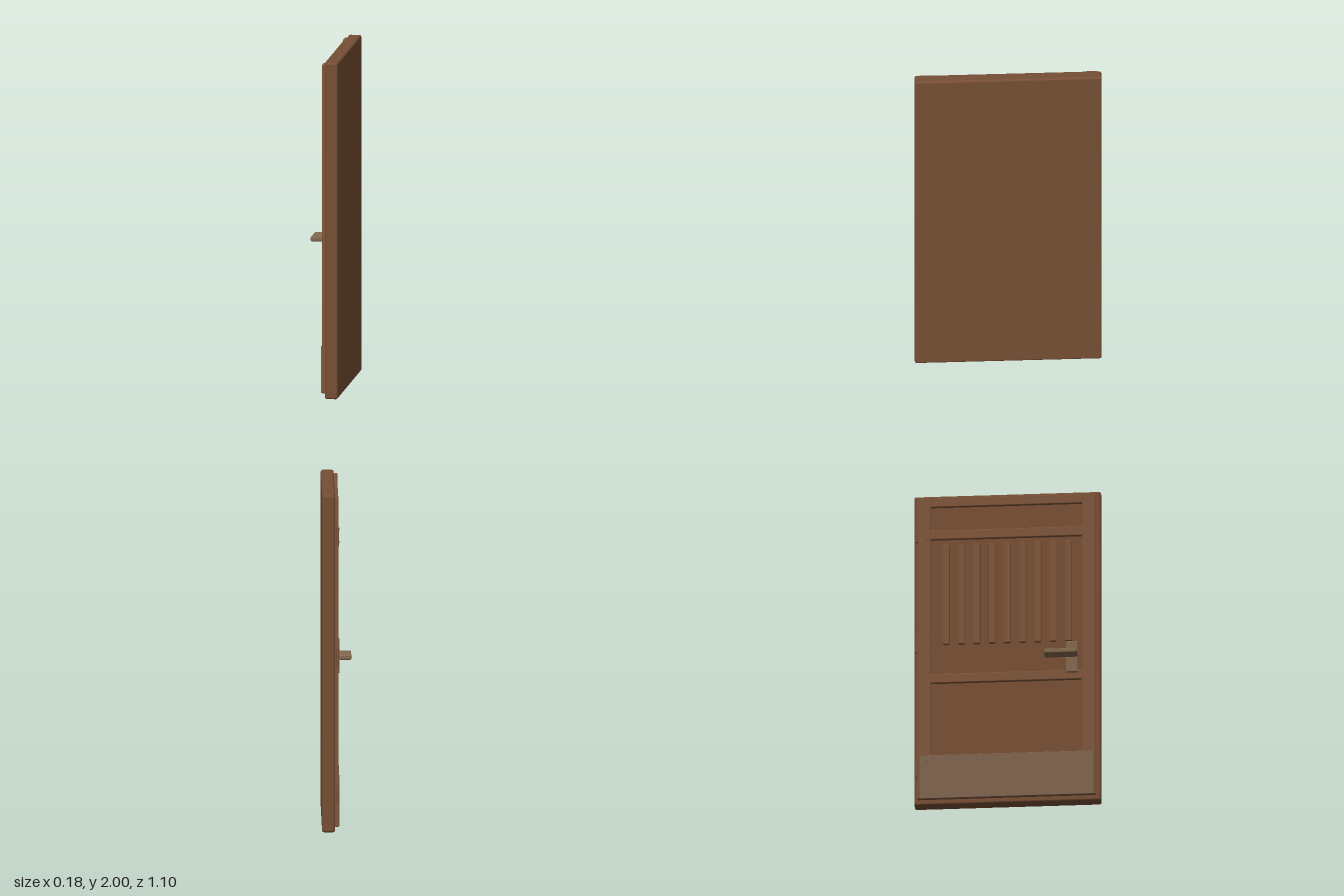
import * as THREE from 'three';
import { RoundedBoxGeometry } from 'three/addons/geometries/RoundedBoxGeometry.js';

const material = (name, color) => {
  const m = new THREE.MeshStandardMaterial({ color });
  m.name = name;
  return m;
};

export function createModel() {
  const group = new THREE.Group();
  const wood = material('wood', 0x774f35);
  const trim = material('trim wood', 0x80563a);
  const brass = material('dull brass', 0x84694f);
  const steel = material('kick plate metal', 0x80644f);

  // Rounded block given by its limits on each axis
  const block = (name, mat, [x0, x1], [y0, y1], [z0, z1], radius) => {
    const geo = new RoundedBoxGeometry(x1 - x0, y1 - y0, z1 - z0, 2, radius);
    const mesh = new THREE.Mesh(geo, mat);
    mesh.position.set((x0 + x1) / 2, (y0 + y1) / 2, (z0 + z1) / 2);
    mesh.name = name;
    group.add(mesh);
  };

  // Door leaf, plain on its +x side
  block('slab', wood, [0.012, 0.088], [0, 2], [-0.55, 0.55], 0.012);

  // Frame on the -x side
  const depth = [-0.01, 0.013];
  block('hingeStile', trim, depth, [0.03, 1.985], [-0.53, -0.45], 0.006);
  block('latchStile', trim, depth, [0.03, 1.985], [0.44, 0.52], 0.006);
  const rails = [[0.03, 0.11], [0.78, 0.84], [1.71, 1.77], [1.92, 1.98]];
  for (const span of rails) {
    block('rail', trim, [-0.008, 0.013], span, [-0.455, 0.445], 0.006);
  }

  // Row of upright slats
  for (let i = 0; i < 9; i++) {
    const z = -0.36 + i * 0.09;
    block('slat', trim, [-0.006, 0.013], [1.03, 1.68], [z - 0.02, z + 0.02], 0.006);
  }

  block('kickPlate', steel, [-0.015, -0.007], [0.03, 0.31], [-0.515, 0.51], 0.002);

  // Handle
  block('handlePlate', brass, [-0.022, -0.007], [0.82, 1.02], [0.345, 0.415], 0.005);
  block('lever', brass, [-0.09, -0.018], [0.915, 0.945], [0.22, 0.415], 0.008);

  // Hinges: barrel at the edge and two screw heads
  for (const y of [0.23, 1.035, 1.75]) {
    const barrel = new THREE.Mesh(new THREE.CylinderGeometry(0.009, 0.009, 0.11, 12), trim);
    barrel.position.set(-0.004, y, -0.532);
    barrel.name = 'hingeBarrel';
    group.add(barrel);
    for (const dy of [-0.035, 0.04]) {
      const screw = new THREE.Mesh(new THREE.CylinderGeometry(0.008, 0.008, 0.008, 10), trim);
      screw.rotation.z = Math.PI / 2;
      screw.position.set(-0.011, y + dy, -0.47);
      screw.name = 'hingeScrew';
      group.add(screw);
    }
  }
  return group;
}
